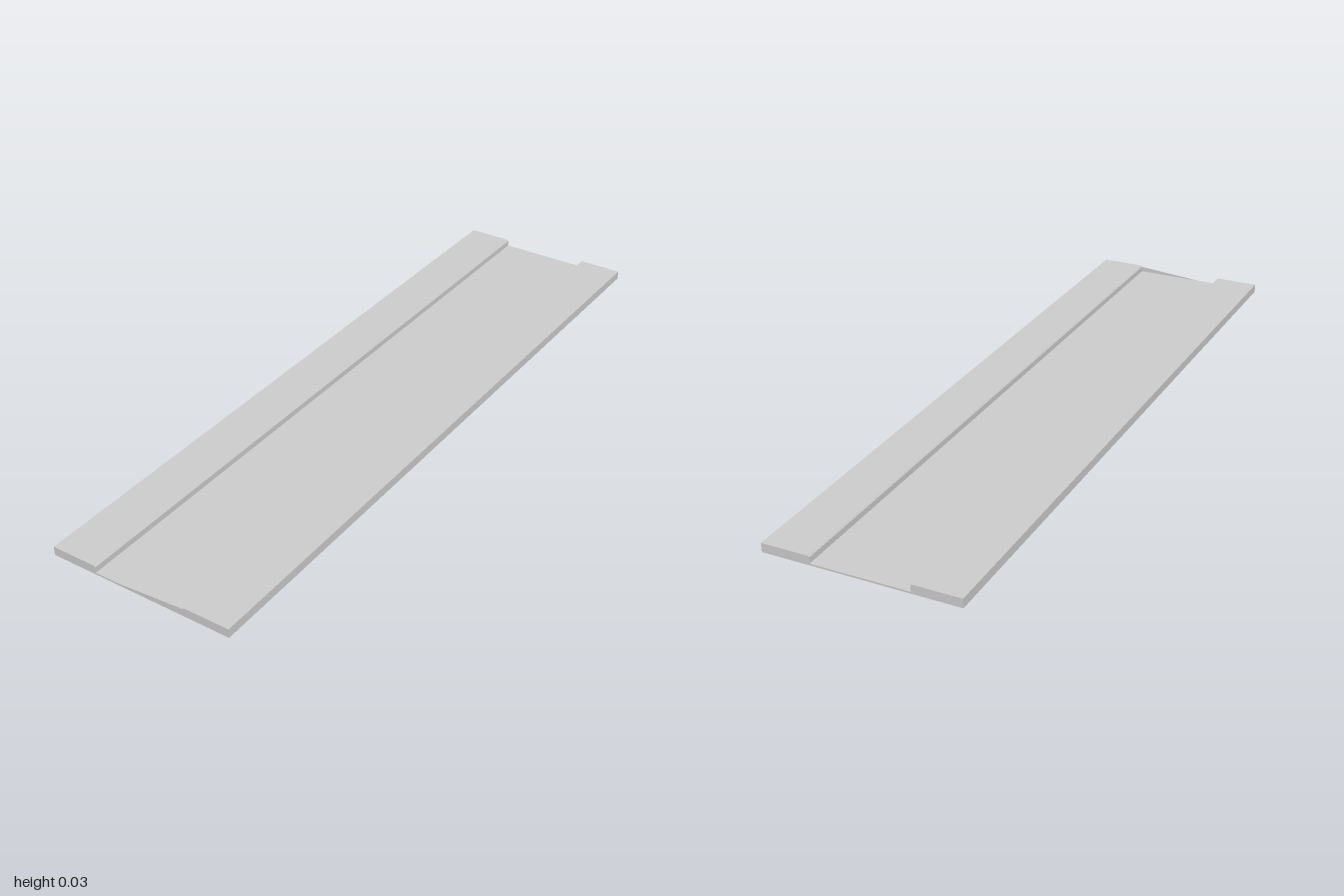
import * as THREE from 'three';

const HALF_WIDTH = 0.265, HEIGHT = 0.025, HALF_LENGTH = 1;
const CHANNEL = 0.133, FLOOR = 0.005, BEVEL = 0.003;

function shapeOf(points) {
  return new THREE.Shape(points.map(([x, y]) => new THREE.Vector2(x, y)));
}

export function createModel() {
  const group = new THREE.Group();
  const material = new THREE.MeshStandardMaterial({ color: 0xcccccc, flatShading: true });

  // Long plank with a shallow channel whose top edges are lightly bevelled
  const rightHalf = [
    [HALF_WIDTH, 0],
    [HALF_WIDTH, HEIGHT],
    [CHANNEL + BEVEL, HEIGHT],
    [CHANNEL, HEIGHT - BEVEL - 0.001],
    [CHANNEL, FLOOR],
  ];
  const leftHalf = rightHalf.map(([x, y]) => [-x, y]).reverse();
  const plankGeometry = new THREE.ExtrudeGeometry(shapeOf([...rightHalf, ...leftHalf]), {
    depth: 2 * HALF_LENGTH,
    bevelEnabled: false,
  });
  plankGeometry.translate(0, 0, -HALF_LENGTH);
  const plank = new THREE.Mesh(plankGeometry, material);
  plank.name = 'channelledPlank';
  group.add(plank);

  // Thin sloping web that partly closes the front end of the channel
  const webMaterial = material.clone();
  webMaterial.side = THREE.DoubleSide;
  const web = new THREE.Mesh(
    new THREE.ShapeGeometry(shapeOf([[-0.067, FLOOR], [CHANNEL, FLOOR], [CHANNEL, HEIGHT - BEVEL - 0.001]])),
    webMaterial
  );
  web.position.z = HALF_LENGTH;
  web.name = 'frontEndWeb';
  group.add(web);

  return group;
}
